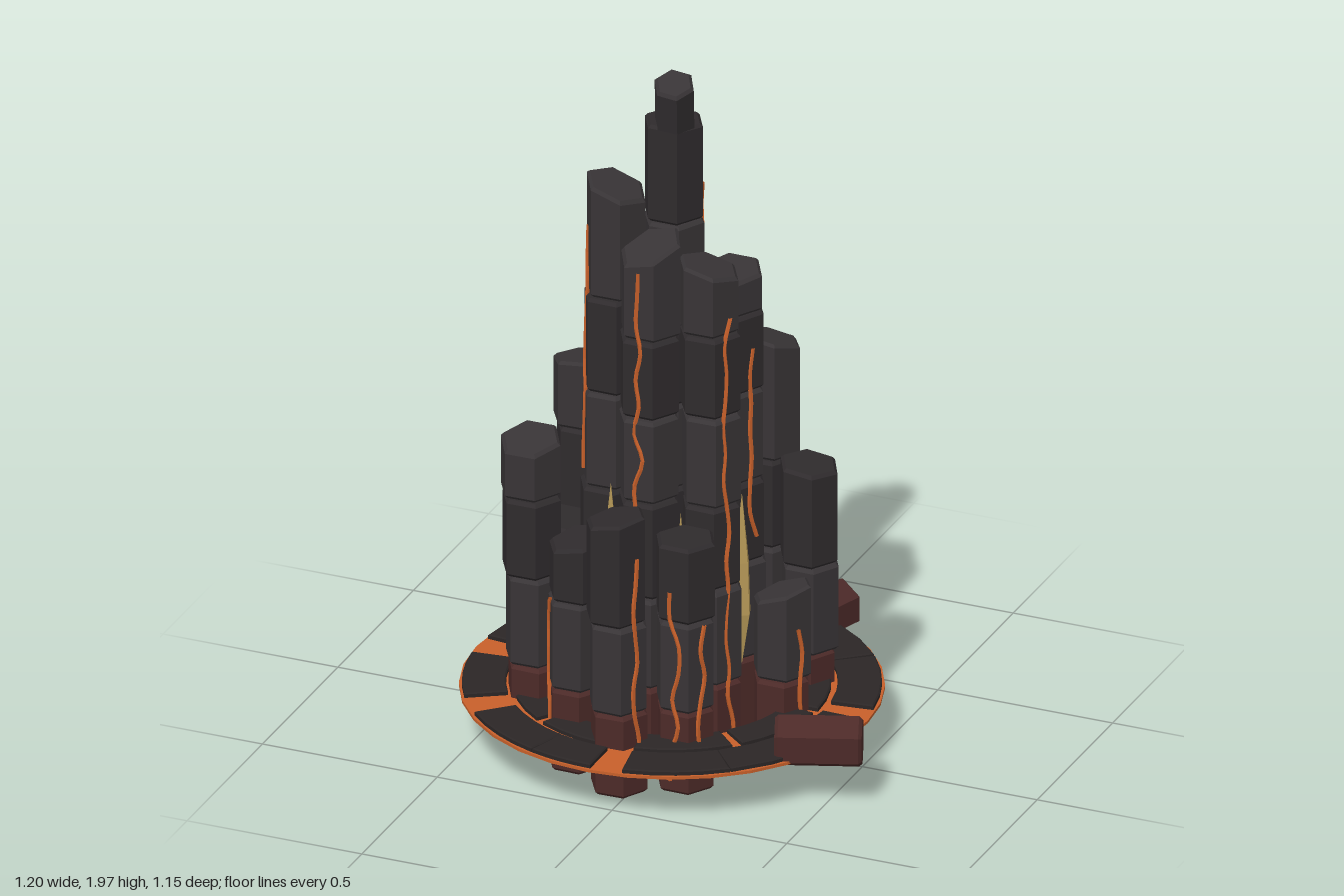
import * as THREE from 'three';

const CX = -0.04, CZ = 0.01;            // axis of the column cluster
const STEP_X = 0.155, STEP_Z = 0.089;   // hexagonal grid steps
const mat = (color, extra = {}) => new THREE.MeshStandardMaterial({ color, flatShading: true, ...extra });
const baseMat = mat(0x4c2a28), rockMat = mat(0x383436), darkMat = mat(0x2f2b2d);
const slabMat = mat(0x2b2626), lavaMat = mat(0xc8602a, { side: THREE.DoubleSide }), crystalMat = mat(0xb89a58);

let seed = 7;
const rand = () => (seed = (seed * 16807) % 2147483647) / 2147483647;
const jitter = (a) => (rand() - 0.5) * 2 * a;

// grid column, grid row, height, slope of the cap in x and z, lean of the top in x and z
const COLUMNS = [
  [0, 0, 1.81, 0, 0.05, 0.01, 0.005],
  [-1, 1, 1.62, -0.35, 0, 0.03, -0.02],
  [0, 2, 1.5, 0.25, -0.3, 0.005, -0.035],
  [1, 1, 1.43, -0.25, 0.1, -0.02, -0.03],
  [1, -1, 1.36, 0, -0.1, -0.02, 0.01],
  [0, -2, 1.19, 0, 0.2, 0, 0.03],
  [-1, -1, 1.39, 0.35, 0.1, 0.02, 0],
  [0, 4, 0.8, 0.2, 0, -0.005, 0.005],
  [1, 3, 0.73, 0, 0, 0, 0],
  [2, 0, 0.49, 0.35, 0, 0.01, 0],
  [2, -2, 0.78, -0.1, 0, 0.01, 0],
  [1, -3, 1.08, -0.15, 0.25, 0.01, -0.005],
  [0, -4, 0.42, 0, 0, 0, 0.01],
  [-1, -3, 0.43, 0.1, 0.1, 0, 0],
  [-2, -2, 0.97, 0.1, 0.15, -0.02, 0],
  [-2, 0, 0.58, 0, 0, -0.005, 0],
  [-2, 2, 0.89, 0, -0.2, -0.02, 0],
  [-1, 3, 0.67, 0.2, -0.1, 0, 0],
];

function columnAt([a, b, h, , , lx, lz], y) {
  const t = y / h;
  return [CX + a * STEP_X + lx * t, CZ + b * STEP_Z + lz * t];
}

// Hexagonal block with chamfered rims; the cap may be sloped
function hexBlock(r, h, sx = 0, sz = 0, c = 0.009) {
  const pts = [[0, 0], [r - c, 0], [r, c], [r, h - c], [r - c, h], [0, h]].map((p) => new THREE.Vector2(...p));
  const geo = new THREE.LatheGeometry(pts, 6, Math.PI / 2);
  const p = geo.attributes.position;
  for (let i = 0; i < p.count; i++) {
    if (p.getY(i) > h / 2) p.setY(i, p.getY(i) + sx * p.getX(i) + sz * p.getZ(i));
  }
  geo.computeVertexNormals();
  return geo;
}

function add(parent, name, geo, material, x = 0, y = 0, z = 0) {
  const m = new THREE.Mesh(geo, material);
  m.name = name;
  m.position.set(x, y, z);
  parent.add(m);
  return m;
}

// Column stacked from separate blocks
function buildColumn(spec) {
  const [, , h, sx, sz] = spec;
  const g = new THREE.Group();
  g.name = 'basaltColumn';
  let y = 0.01, i = 0;
  while (y < h - 0.001) {
    let len = i ? 0.25 + jitter(0.03) : 0.24;
    const last = h - y - len < 0.08;
    if (last) len = h - y;
    const [x, z] = columnAt(spec, y + len / 2);
    const r = 0.079 + Math.min(i, 2) * 0.0025 + jitter(0.0015);
    const geo = last ? hexBlock(r, len, sx, sz) : hexBlock(r, len - 0.004);
    const m = add(g, i ? 'columnBlock' : 'columnFoot', geo, i === 0 ? baseMat : i % 2 ? rockMat : darkMat,
      x + jitter(0.003), y, z + jitter(0.003));
    m.rotation.y = jitter(0.04);
    y += len;
    i++;
  }
  return g;
}

// Wavy glowing crack on one face of a column
function buildSeam(index, deg, y0, y1) {
  const a = THREE.MathUtils.degToRad(deg), pts = [];
  const n = Math.ceil((y1 - y0) / 0.08);
  for (let i = 0; i <= n; i++) {
    const y = y0 + ((y1 - y0) * i) / n;
    const [x, z] = columnAt(COLUMNS[index], y);
    const side = jitter(0.016), d = 0.0735;
    pts.push(new THREE.Vector3(x + Math.cos(a) * d - Math.sin(a) * side, y, z + Math.sin(a) * d + Math.cos(a) * side));
  }
  return new THREE.TubeGeometry(new THREE.CatmullRomCurve3(pts), n * 3, 0.006, 5);
}

// Flat ring sector between two angles, in degrees
function buildSlab(a0, a1, r0, r1, depth) {
  const s = new THREE.Shape(), n = 4, rad = THREE.MathUtils.degToRad;
  for (let i = 0; i <= n; i++) {
    const a = rad(a0 + ((a1 - a0) * i) / n);
    s[i ? 'lineTo' : 'moveTo'](Math.cos(a) * r1, Math.sin(a) * r1);
  }
  for (let i = n; i >= 0; i--) {
    const a = rad(a0 + ((a1 - a0) * i) / n);
    s.lineTo(Math.cos(a) * r0, Math.sin(a) * r0);
  }
  return new THREE.ExtrudeGeometry(s, {
    depth, bevelEnabled: true, bevelSize: 0.004, bevelThickness: 0.003, bevelSegments: 1,
  }).rotateX(Math.PI / 2);
}

export function createModel() {
  const root = new THREE.Group();
  root.name = 'basaltSpire';

  COLUMNS.forEach((c) => root.add(buildColumn(c)));

  // Leaning capstone on the tallest column
  const cap = add(root, 'capstone', hexBlock(0.056, 0.2, 0.05, 0), rockMat, -0.025, 1.775, 0.025);
  cap.quaternion.setFromUnitVectors(new THREE.Vector3(0, 1, 0), new THREE.Vector3(0.03, 0.18, 0.075).normalize());

  // Lava cracks: column index, face angle, bottom, top
  [
    [2, 90, 0.6, 1.45], [8, 90, 0.05, 0.6], [17, 150, 0.05, 0.5], [7, 30, 0.1, 0.7],
    [3, 30, 0.06, 1.3], [4, 30, 0.6, 1.15], [9, 30, 0.05, 0.4], [0, -30, 1.2, 1.62],
    [5, 210, 0.4, 1.1], [15, 210, 0.05, 0.45], [1, 150, 0.8, 1.5], [8, 30, 0.06, 0.5],
  ].forEach((s) => add(root, 'lavaCrack', buildSeam(...s), lavaMat));

  // Crystal shards wedged in the gaps between columns
  const shard = (x, y, z, h, r) => {
    const pts = [[0, 0], [r, h * 0.3], [r * 0.8, h * 0.6], [0, h]].map((p) => new THREE.Vector2(...p));
    add(root, 'crystalShard', new THREE.LatheGeometry(pts, 5), crystalMat, x, y, z);
  };
  [[0.25, 0.5], [0.15, 0.6], [0.3, 0.5], [0.4, 0.45], [0.3, 0.5], [0.35, 0.5]].forEach(([y, h], i) => {
    const a = (i * Math.PI) / 3;
    shard(CX + Math.cos(a) * 0.2, y, CZ + Math.sin(a) * 0.2, h, 0.026);
  });
  shard(-0.045, 1.05, -0.085, 0.27, 0.042);

  // Molten ring around the foot
  const ring = new THREE.Group();
  ring.name = 'lavaRing';
  ring.position.set(CX, 0, CZ);
  root.add(ring);
  const disc = new THREE.Shape().absarc(0, 0, 0.56, 0, Math.PI * 2);
  disc.holes.push(new THREE.Path().absarc(0, 0, 0.325, 0, Math.PI * 2, true));
  const discGeo = new THREE.ExtrudeGeometry(disc, { depth: 0.008, bevelEnabled: false, curveSegments: 16 });
  add(ring, 'moltenDisc', discGeo.rotateX(Math.PI / 2), lavaMat, 0, 0.153, 0);

  // Cooled crust slabs, outer then inner row
  [
    [-108, -86], [-136, -109], [-174, -142], [148, 174], [109, 136], [90, 108],
    [51, 80], [2, 50], [-38, -7], [-80, -40],
  ].forEach(([a, b]) => add(ring, 'outerCrustSlab', buildSlab(a, b, 0.44, 0.548, 0.012), slabMat, 0, 0.163, 0));
  for (let i = 0; i < 9; i++) {
    add(ring, 'innerCrustSlab', buildSlab(i * 40 + 5, i * 40 + 40, 0.335, 0.415, 0.012), slabMat, 0, 0.163, 0);
  }

  // Fallen column pieces: centre x and z, axis x and z, length, radius
  [
    [0.475, 0.23, 0.93, -0.35, 0.23, 0.074],
    [-0.495, -0.32, 0.63, 0.77, 0.155, 0.076],
    [0.182, -0.488, -0.32, 0.95, 0.155, 0.07],
  ].forEach(([x, z, ax, az, len, r]) => {
    const geo = hexBlock(r, len).translate(0, -len / 2, 0).rotateZ(-Math.PI / 2);
    const m = add(root, 'fallenBlock', geo, baseMat, x, 0.185, z);
    m.rotation.y = Math.atan2(-az, ax);
  });

  return root;
}
